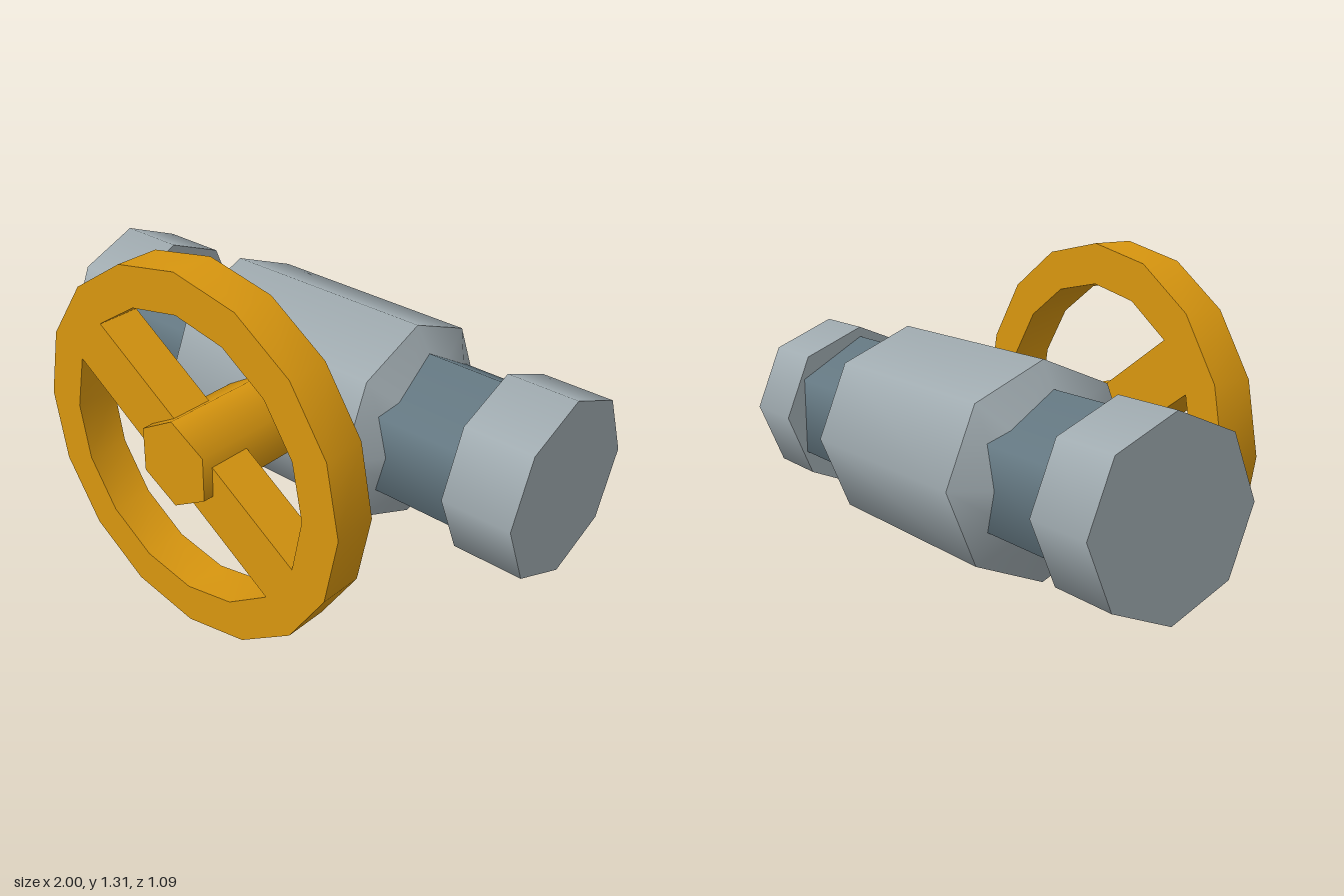
import * as THREE from 'three';
import { toCreasedNormals } from 'three/addons/utils/BufferGeometryUtils.js';

export function createModel() {
  const steel = new THREE.MeshStandardMaterial({ name: 'light steel', color: 0xa0abb0 });
  const darkSteel = new THREE.MeshStandardMaterial({ name: 'dark steel', color: 0x667a84 });
  const orange = new THREE.MeshStandardMaterial({ name: 'orange paint', color: 0xd8960f });

  const model = new THREE.Group();
  const AXIS_Y = 0.656, PIPE_Z = -0.18;

  const add = (parent, name, geometry, material) => {
    const mesh = new THREE.Mesh(geometry, material);
    mesh.name = name;
    parent.add(mesh);
    return mesh;
  };

  // Prism lying along x from x0 to x1, with a corner pointing up
  const pipe = (r0, r1, x0, x1, sides, open = false) =>
    new THREE.CylinderGeometry(r0, r1, x1 - x0, sides, 1, open)
      .rotateY(Math.PI / 2)
      .rotateZ(Math.PI / 2)
      .translate((x0 + x1) / 2, 0, 0);

  // Valve body and the two mirrored pipe ends
  const pipework = new THREE.Group();
  pipework.name = 'pipework';
  pipework.position.set(0, AXIS_Y, PIPE_Z);
  model.add(pipework);
  add(pipework, 'valveBody', pipe(0.362, 0.362, -0.4, 0.4, 8, true), steel);
  for (const [side, turn] of [['left', 0], ['right', Math.PI]]) {
    const end = new THREE.Group();
    end.name = side + 'PipeEnd';
    end.rotation.y = turn;
    add(end, side + 'BodyTaper', pipe(0.362, 0.202, 0.4, 0.5, 8, true), steel);
    add(end, side + 'Neck', pipe(0.277, 0.277, 0.38, 0.8, 6), darkSteel);
    add(end, side + 'Flange', pipe(0.313, 0.313, 0.75, 1, 8), steel);
    pipework.add(end);
  }

  // Hexagonal stem carrying the wheel
  const stem = new THREE.CylinderGeometry(0.158, 0.158, 0.545, 6).rotateX(Math.PI / 2);
  add(model, 'stem', stem, orange).position.set(0, AXIS_Y, 0.2725);

  // Sixteen-sided hand wheel; the two openings leave one diagonal spoke
  const ringPoints = (r, first, last) => {
    const points = [];
    for (let i = first; i <= last; i++) {
      const a = (i * Math.PI) / 8;
      points.push(new THREE.Vector2(r * Math.cos(a), r * Math.sin(a)));
    }
    return points;
  };
  const wheelShape = new THREE.Shape(ringPoints(0.655, 0, 15));
  wheelShape.holes.push(
    new THREE.Path(ringPoints(0.513, -1, 6)),
    new THREE.Path(ringPoints(0.513, 7, 14))
  );
  const wheel = new THREE.ExtrudeGeometry(wheelShape, { depth: 0.155, bevelEnabled: false });
  add(model, 'handWheel', toCreasedNormals(wheel, 0.6), orange).position.set(0, AXIS_Y, 0.35);

  return model;
}
